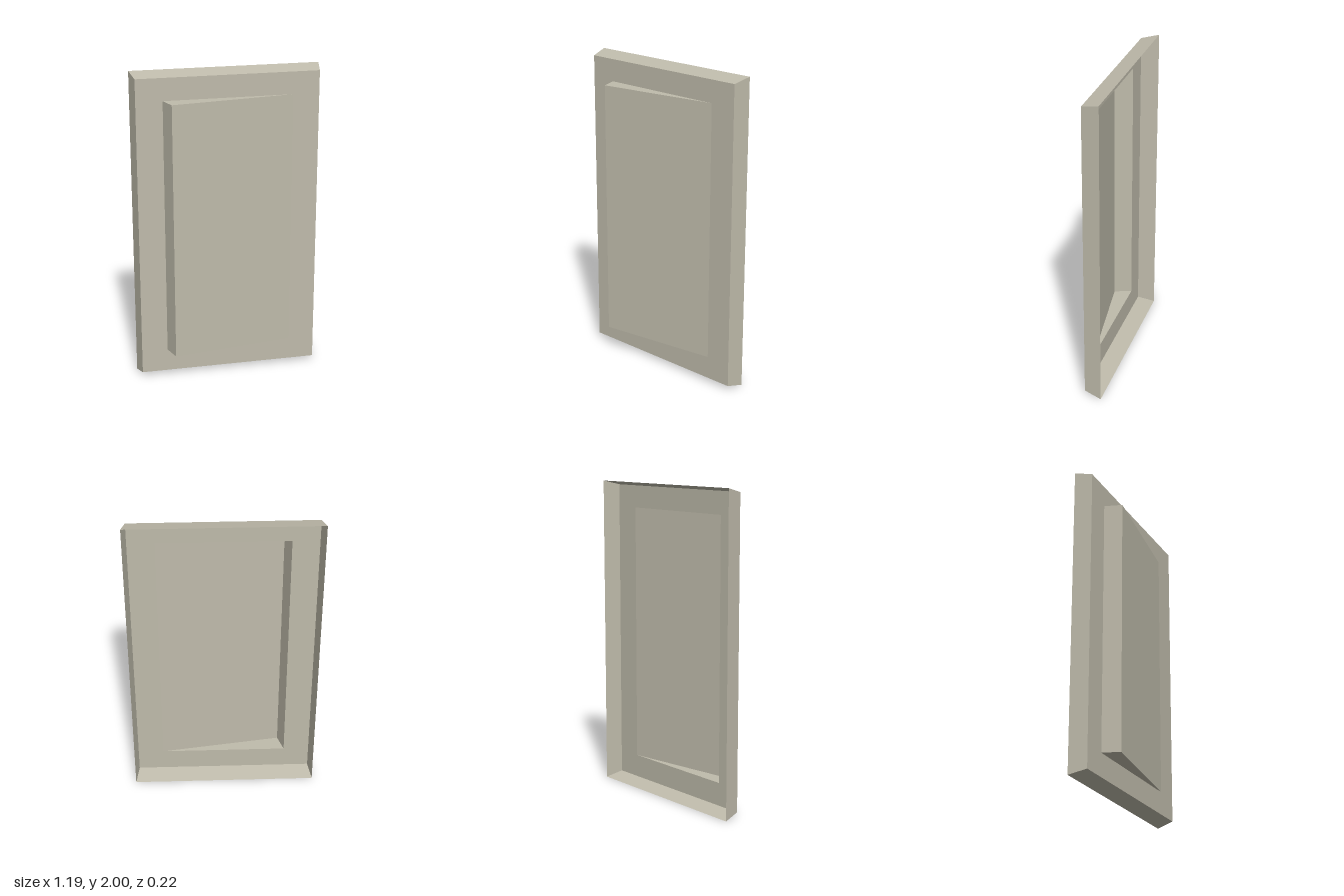
import * as THREE from 'three';

const BACK = -0.112, PEAK = 0.11;

// Flat-shaded surface from polygons whose corners run counterclockwise seen from outside
function facets(polygons) {
  const pos = [];
  for (const p of polygons)
    for (let i = 1; i < p.length - 1; i++) pos.push(...p[0], ...p[i], ...p[i + 1]);
  const g = new THREE.BufferGeometry();
  g.setAttribute('position', new THREE.Float32BufferAttribute(pos, 3));
  g.computeVertexNormals();
  return g;
}

// Corners of an upright rectangle, counterclockwise from the front
const rect = (x0, x1, y0, y1, z) => [[x0, y0, z], [x1, y0, z], [x1, y1, z], [x0, y1, z]];

export function createModel() {
  const group = new THREE.Group();
  const stone = new THREE.MeshStandardMaterial({ color: 0xbfbbab, side: THREE.DoubleSide });
  stone.name = 'warm grey';
  const add = (name, geometry) => {
    const mesh = new THREE.Mesh(geometry, stone);
    mesh.name = name;
    group.add(mesh);
  };

  const front = rect(-0.573, 0.573, 0.027, 1.973, 0);
  const back = rect(-0.595, 0.595, 0, 2, BACK);
  const opening = rect(-0.407, 0.405, 0.174, 1.831, 0);
  const v2 = (c) => c.map(([x, y]) => new THREE.Vector2(x, y));

  // Front panel, open behind the wedge
  const panel = new THREE.Shape(v2(front));
  panel.holes.push(new THREE.Path(v2(opening)));
  add('frontPanel', new THREE.ShapeGeometry(panel));

  // Four flared sides, open at the back
  add('flaredRim', facets(front.map((f, i) => {
    const j = (i + 1) % 4;
    return [f, back[i], back[j], front[j]];
  })));

  // Hollow wedge: long slope, steep side and triangular ends
  const [a, b, c, d] = opening;
  const low = [-0.37, a[1], PEAK], high = [-0.37, d[1], PEAK];
  add('wedgeSlope', facets([[low, b, c, high]]));
  add('wedgeSteepSide', facets([[a, low, high, d]]));
  add('wedgeEnds', facets([[a, b, low], [d, high, c]]));

  return group;
}
